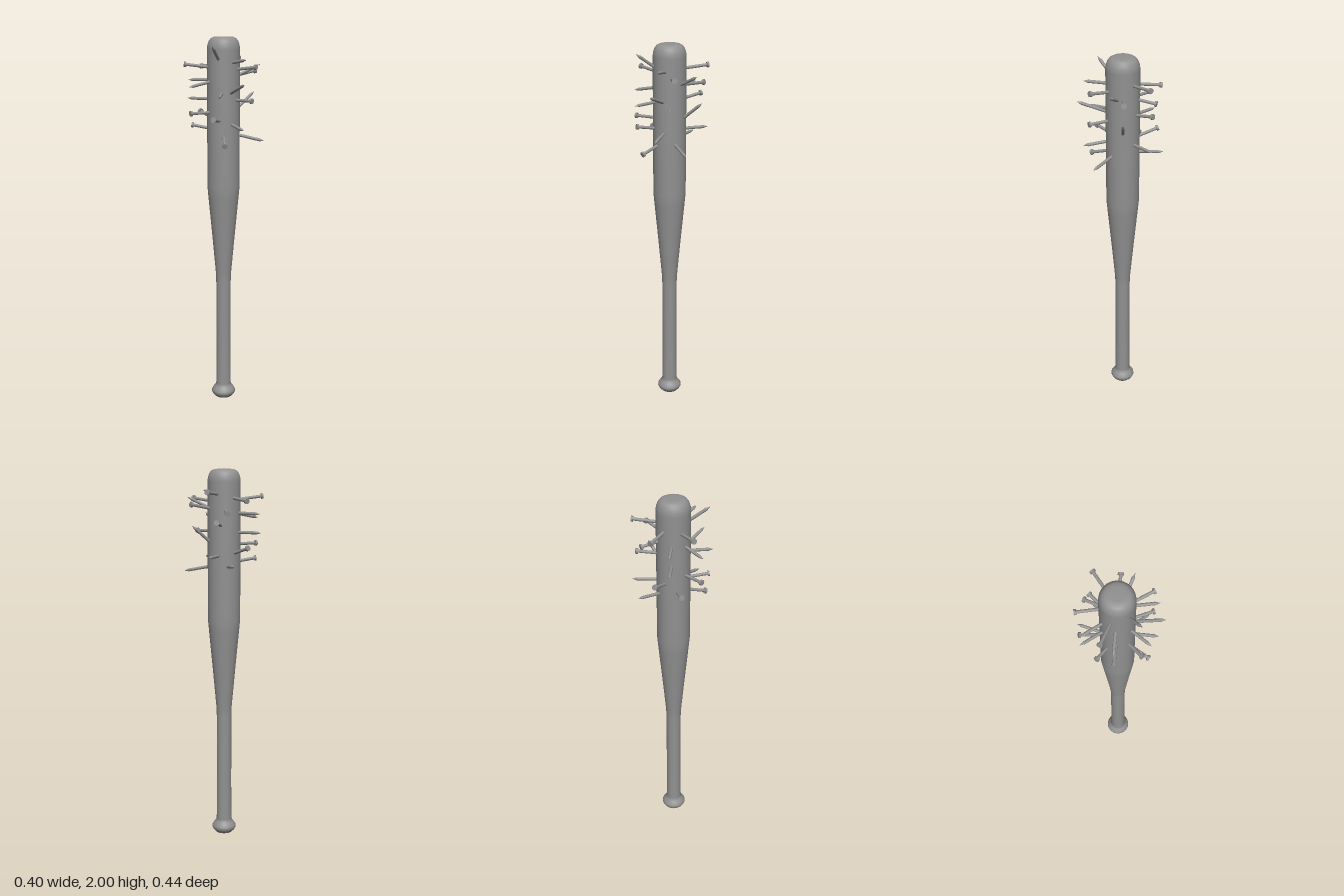
import * as THREE from 'three';

const CX = 0.004, CZ = -0.013, BARREL = 0.0865;
const material = new THREE.MeshStandardMaterial({ color: 0x919191 });

// Outer end of each nail (x, y, z), then the height where it enters the barrel
const HEADS = [
  [-0.048, 1.6, -0.19, 1.57], [-0.035, 1.84, -0.203, 1.852], [0.06, 1.777, -0.176, 1.787],
  [0.112, 1.73, -0.16, 1.713], [0.157, 1.884, -0.146, 1.873], [0.192, 1.82, -0.02, 1.8],
  [0.11, 1.848, 0.145, 1.835], [0.085, 1.676, 0.151, 1.676], [-0.067, 1.452, 0.149, 1.48],
  [-0.115, 1.585, 0.119, 1.57], [-0.186, 1.61, -0.006, 1.61], [-0.19, 1.86, -0.068, 1.845],
  [-0.138, 1.54, -0.096, 1.525],
];
const SPIKES = [
  [0.156, 1.555, -0.16, 1.555], [0.187, 1.857, 0.048, 1.805], [0.171, 1.463, 0.135, 1.49],
  [0.037, 1.888, 0.182, 1.87], [0.01, 1.767, 0.217, 1.715], [0.021, 1.53, 0.19, 1.55],
  [-0.105, 1.703, 0.163, 1.71], [-0.122, 1.957, 0.115, 1.89], [-0.199, 1.745, -0.007, 1.768],
  [-0.132, 1.675, -0.177, 1.675], [-0.127, 1.772, -0.172, 1.775], [0.045, 1.51, -0.22, 1.5],
  [0.188, 1.712, -0.015, 1.63],
];

// Nail running from inside the barrel to its outer end, with a flat head or a point
function nail([x, y, z, entryY], hasHead) {
  const end = new THREE.Vector3(x, y, z);
  const angle = Math.atan2(z - CZ, x - CX);
  const entry = new THREE.Vector3(CX + BARREL * Math.cos(angle), entryY, CZ + BARREL * Math.sin(angle));
  const dir = end.clone().sub(entry);
  const length = dir.length() + 0.03;
  dir.normalize();

  const group = new THREE.Group();
  group.name = hasHead ? 'headedNail' : 'pointedNail';
  const shaftLength = hasHead ? length : length - 0.026;
  const shaft = new THREE.Mesh(new THREE.CylinderGeometry(0.008, 0.008, shaftLength, 12), material);
  shaft.name = 'nailShaft';
  shaft.position.y = shaftLength / 2 - length;
  const capGeometry = hasHead
    ? new THREE.CylinderGeometry(0.0145, 0.0145, 0.011, 16)
    : new THREE.ConeGeometry(0.008, 0.026, 12);
  const cap = new THREE.Mesh(capGeometry, material);
  cap.name = hasHead ? 'nailHead' : 'nailPoint';
  cap.position.y = hasHead ? 0 : -0.013;
  group.add(shaft, cap);
  group.position.copy(end);
  group.quaternion.setFromUnitVectors(new THREE.Vector3(0, 1, 0), dir);
  return group;
}

export function createModel() {
  const model = new THREE.Group();
  model.name = 'nailedBat';

  // Turned wooden body: knob, slim handle, taper, barrel and rounded end
  const profile = [
    [0, 0], [0.03, 0.002], [0.045, 0.007], [0.058, 0.02], [0.065, 0.034], [0.064, 0.046],
    [0.054, 0.061], [0.045, 0.072], [0.041, 0.085], [0.04, 0.3], [0.04, 0.68], [0.042, 0.73],
    [0.061, 0.94], [0.081, 1.15], [BARREL, 1.21], [BARREL, 1.6], [BARREL, 1.935],
    [0.084, 1.958], [0.077, 1.978], [0.067, 1.991], [0.054, 1.998], [0.035, 2], [0, 2],
  ].map(([r, y]) => new THREE.Vector2(r, y));
  const body = new THREE.Mesh(new THREE.LatheGeometry(profile, 48), material);
  body.name = 'batBody';
  body.position.set(CX, 0, CZ);
  model.add(body);

  // Nails driven in around the barrel
  const nails = new THREE.Group();
  nails.name = 'nails';
  HEADS.forEach((n) => nails.add(nail(n, true)));
  SPIKES.forEach((n) => nails.add(nail(n, false)));
  model.add(nails);
  return model;
}
